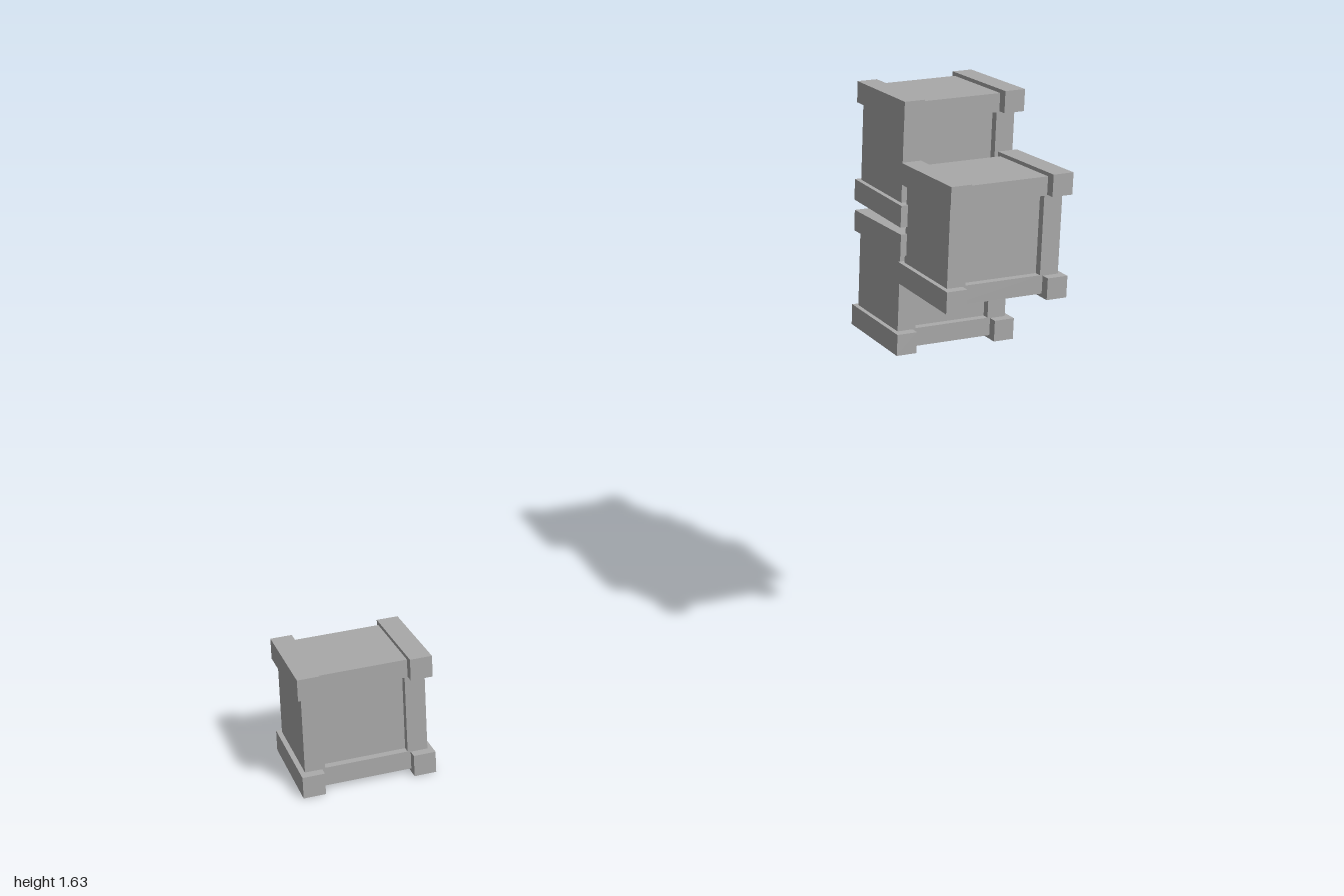
import * as THREE from 'three';
import { mergeGeometries } from 'three/addons/utils/BufferGeometryUtils.js';

const grey = new THREE.MeshStandardMaterial({ color: 0xaaaaaa, side: THREE.DoubleSide });
grey.name = 'grey';

// Crate sizes, measured from the middle of the crate
const HALF = { x: 0.175, y: 0.165, z: 0.134 };
const BAR = 0.058;
const SHELL = { x: 0.162, y: 0.155, front: 0.109, back: -0.122 };
const INSET = { x: 0.109, y: 0.105, back: 0.089 };

// Crates narrow slightly towards the open back
function taper(geometry) {
  const p = geometry.attributes.position;
  for (let i = 0; i < p.count; i++) {
    const k = 1 - 0.03 * (HALF.z - p.getZ(i)) / (2 * HALF.z);
    p.setXY(i, p.getX(i) * k, p.getY(i) * k);
  }
  geometry.computeVertexNormals();
  return geometry;
}

// Four thin walls around a rectangle, open at both ends
function sleeve(hx, hy, z0, z1) {
  const depth = z1 - z0, mid = (z0 + z1) / 2;
  const walls = [];
  for (const s of [1, -1]) {
    walls.push(new THREE.PlaneGeometry(depth, 2 * hy).rotateY(s * Math.PI / 2).translate(s * hx, 0, mid));
    walls.push(new THREE.PlaneGeometry(2 * hx, depth).rotateX(-s * Math.PI / 2).translate(0, s * hy, mid));
  }
  return mergeGeometries(walls);
}

function rectangle(path, hx, hy) {
  return path.moveTo(-hx, -hy).lineTo(hx, -hy).lineTo(hx, hy).lineTo(-hx, hy).closePath();
}

function createCrate(name) {
  const crate = new THREE.Group();
  crate.name = name;
  const add = (part, geometry) => {
    const mesh = new THREE.Mesh(taper(geometry), grey);
    mesh.name = part;
    crate.add(mesh);
  };

  // Sides, top and bottom; the back stays open
  add('shell', sleeve(SHELL.x, SHELL.y, SHELL.back, SHELL.front));

  // Front frame with a shallow recessed panel
  const frame = rectangle(new THREE.Shape(), SHELL.x, SHELL.y);
  frame.holes.push(rectangle(new THREE.Path(), INSET.x, INSET.y));
  add('frontFrame', new THREE.ShapeGeometry(frame).translate(0, 0, SHELL.front));
  add('recessWalls', sleeve(INSET.x, INSET.y, INSET.back, SHELL.front));
  add('frontPanel', new THREE.PlaneGeometry(2 * INSET.x, 2 * INSET.y).translate(0, 0, INSET.back));

  // Corner rails running front to back
  for (const sx of [-1, 1]) {
    for (const sy of [-1, 1]) {
      const rail = new THREE.BoxGeometry(BAR, BAR, 2 * HALF.z);
      rail.translate(sx * (HALF.x - BAR / 2), sy * (HALF.y - BAR / 2), 0);
      add('cornerRail', rail);
    }
  }
  return crate;
}

export function createModel() {
  const model = new THREE.Group();
  model.name = 'crates';
  const places = [
    ['singleCrate', -0.825, 0.166, -0.124],
    ['lowerCrate', 0.825, 1.114, -0.124],
    ['upperCrate', 0.823, 1.463, -0.124],
    ['frontCrate', 0.825, 1.304, 0.124],
  ];
  for (const [name, x, y, z] of places) {
    const crate = createCrate(name);
    crate.position.set(x, y, z);
    model.add(crate);
  }
  return model;
}
